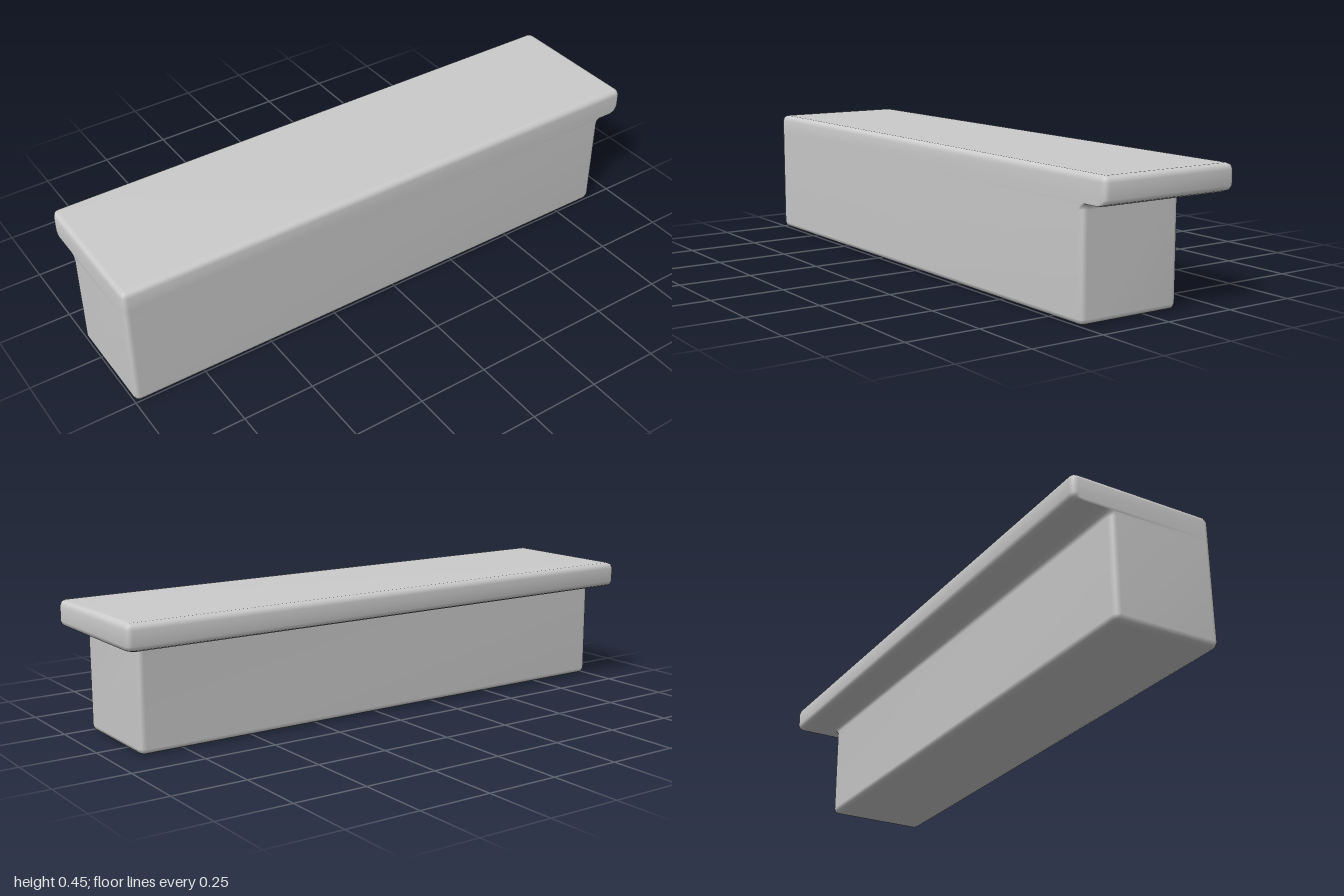
import * as THREE from 'three';

const LEFT = -1, FRONT = 0.253;   // flush sides shared by body and top slab
const BODY = [0.905, -0.12];      // [x end, z back] of the body
const SLAB = [1, -0.253];         // [x end, z back] of the overhanging slab
const H = 0.45, UNDER = 0.362, R = 0.02, B = 0.006;

// Rounded rectangle in plan, as a ring of 12 points at height y
function ring(y, x0, x1, z0, z1, r) {
  const corners = [[x1 - r, z1 - r], [x0 + r, z1 - r], [x0 + r, z0 + r], [x1 - r, z0 + r]];
  return corners.flatMap(([cx, cz], q) => [0, 1, 2].map((k) => {
    const a = (q + k / 2) * Math.PI / 2;
    return [cx + r * Math.cos(a), y, cz + r * Math.sin(a)];
  }));
}

// Skin stacked rings and close both ends
function loft(rings) {
  const n = rings[0].length, index = [], last = (rings.length - 1) * n;
  for (let k = 0; k < rings.length - 1; k++) {
    for (let i = 0; i < n; i++) {
      const a = k * n + i, b = k * n + (i + 1) % n;
      index.push(a, a + n, b, b, a + n, b + n);
    }
  }
  for (let i = 1; i < n - 1; i++) {
    index.push(0, i, i + 1, last, last + i + 1, last + i);
  }
  const g = new THREE.BufferGeometry();
  g.setAttribute('position', new THREE.Float32BufferAttribute(rings.flat(2), 3));
  g.setIndex(index);
  g.computeVertexNormals();
  return g;
}

export function createModel() {
  // inset: all four sides; out: only the two overhanging sides
  const level = (y, [x1, z0], inset, out = 0) => ring(
    y, LEFT + inset, x1 - inset + out, z0 + inset - out, FRONT - inset, Math.max(R - inset, 0.001));

  const rings = [
    // bevelled foot and straight wall
    level(0, BODY, R),
    level(B, BODY, B),
    level(R, BODY, 0),
    // cove under the overhang
    level(UNDER - R, BODY, 0),
    level(UNDER - B, BODY, 0, B),
    level(UNDER, BODY, 0, R),
    // slab underside and lower edge
    level(UNDER, SLAB, 0, -R),
    level(UNDER + B, SLAB, 0, -B),
    level(UNDER + R, SLAB, 0),
    // slab side and bevelled top
    level(H - R, SLAB, 0),
    level(H - B, SLAB, B),
    level(H, SLAB, R),
  ];

  const counter = new THREE.Mesh(loft(rings), new THREE.MeshStandardMaterial({ color: 0xcccccc }));
  counter.name = 'counterBlock';
  const group = new THREE.Group();
  group.name = 'counter';
  group.add(counter);
  return group;
}
